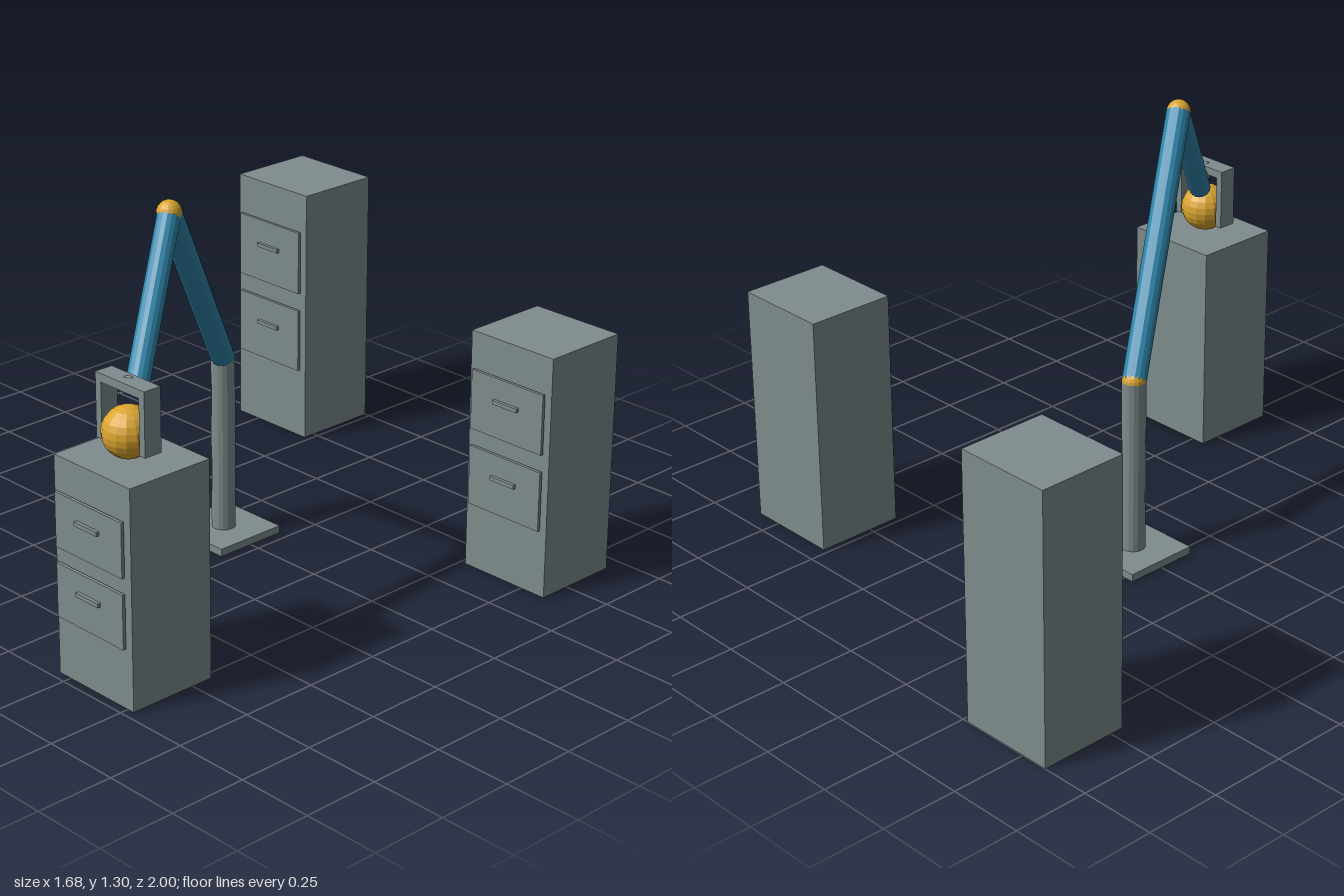
import * as THREE from 'three';

const grey = new THREE.MeshStandardMaterial({ color: 0x7f8c8d, flatShading: true });
grey.name = 'steelGrey';
const blue = new THREE.MeshStandardMaterial({ color: 0x2e86ab, flatShading: true });
blue.name = 'armBlue';
const gold = new THREE.MeshStandardMaterial({ color: 0xdaa52e, flatShading: true });
gold.name = 'gold';

function add(parent, name, geometry, material, x, y, z) {
  const mesh = new THREE.Mesh(geometry, material);
  mesh.name = name;
  mesh.position.set(x, y, z);
  parent.add(mesh);
  return mesh;
}

const box = (w, h, d) => new THREE.BoxGeometry(w, h, d);

// Cylinder running between two points
function rod(parent, name, from, to, radius, material) {
  const dir = to.clone().sub(from);
  const mid = from.clone().add(to).multiplyScalar(0.5);
  const mesh = add(parent, name, new THREE.CylinderGeometry(radius, radius, dir.length(), 16),
    material, mid.x, mid.y, mid.z);
  mesh.quaternion.setFromUnitVectors(new THREE.Vector3(0, 1, 0), dir.normalize());
}

function ball(parent, name, p, radius) {
  add(parent, name, new THREE.SphereGeometry(radius, 16, 12), gold, p.x, p.y, p.z);
}

// Two-drawer cabinet; z is its centre
function cabinet(x, z, h) {
  const g = new THREE.Group();
  g.name = 'cabinet';
  g.position.set(x, 0, z);
  const w = 0.322, d = 0.293;
  add(g, 'cabinetBody', box(w, h, d), grey, 0, h / 2, 0);
  for (const f of [0.406, 0.726]) {
    add(g, 'drawerFront', box(w * 0.88, h * 0.248, 0.01), grey, 0, h * f, d / 2 + 0.012);
    add(g, 'drawerHandle', box(0.096, 0.013, 0.012), grey, 0, h * f + 0.021, d / 2 + 0.022);
  }
  return g;
}

export function createModel() {
  const model = new THREE.Group();
  model.name = 'robotArmAndCabinets';

  // Cabinets
  model.add(cabinet(-0.68, -0.8535, 0.87));
  model.add(cabinet(0.68, -0.54, 0.78));
  model.add(cabinet(0.363, 0.8255, 0.688));

  // Arm
  const arm = new THREE.Group();
  arm.name = 'robotArm';
  model.add(arm);
  const shoulder = new THREE.Vector3(-0.16, 0.6, 0);
  const elbow = new THREE.Vector3(0.134, 1.262, 0.473);
  const wrist = new THREE.Vector3(0.32, 0.866, 0.765);
  const hand = new THREE.Vector3(0.365, 0.911, 0.836);
  add(arm, 'basePlate', box(0.25, 0.025, 0.25), grey, -0.16, 0.0125, 0);
  rod(arm, 'post', new THREE.Vector3(-0.16, 0.025, 0), shoulder, 0.038, grey);
  ball(arm, 'shoulderJoint', shoulder, 0.038);
  rod(arm, 'upperArm', shoulder, elbow, 0.038, blue);
  ball(arm, 'elbowJoint', elbow, 0.038);
  rod(arm, 'forearm', elbow, wrist, 0.035, blue);
  rod(arm, 'wristRod', wrist, hand, 0.022, grey);

  // Gripper
  const gripper = new THREE.Group();
  gripper.name = 'gripper';
  gripper.position.set(0.365, 0, 0.836);
  arm.add(gripper);
  add(gripper, 'gripperBar', box(0.205, 0.026, 0.06), grey, 0, 0.912, 0);
  for (const s of [-1, 1]) {
    add(gripper, 'gripperFinger', box(0.023, 0.172, 0.06), grey, s * 0.091, 0.813, 0);
  }

  // Held ball
  ball(model, 'heldBall', new THREE.Vector3(0.364, 0.767, 0.836), 0.078);
  return model;
}
